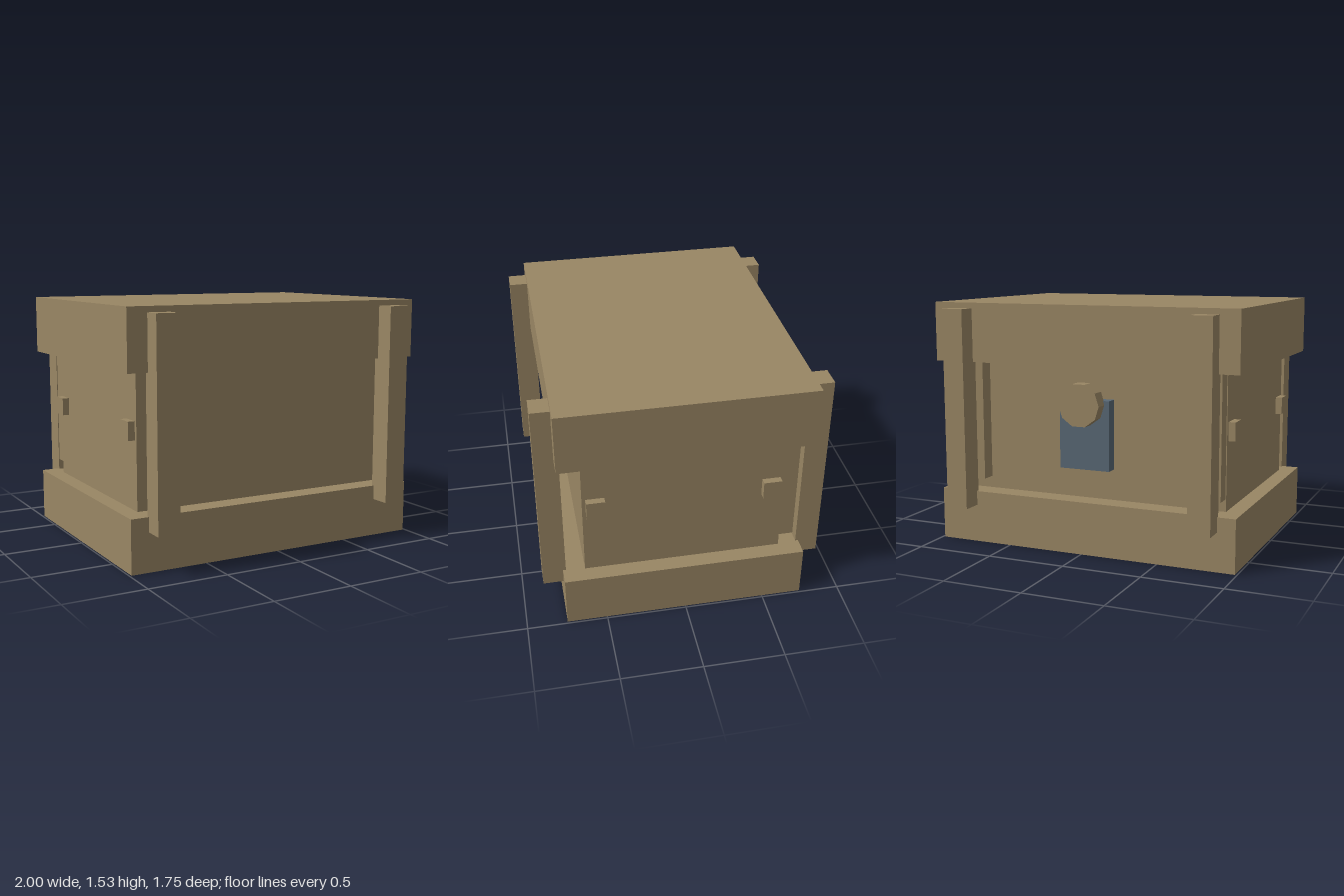
import * as THREE from 'three';

export function createModel() {
  const group = new THREE.Group();
  const wood = new THREE.MeshStandardMaterial({ color: 0x998664 });
  wood.name = 'wood';
  const steel = new THREE.MeshStandardMaterial({ color: 0x586875 });
  steel.name = 'blue steel';

  // Box given by its minimum and maximum on each axis
  function box(name, [x0, x1], [y0, y1], [z0, z1], material = wood) {
    const mesh = new THREE.Mesh(new THREE.BoxGeometry(x1 - x0, y1 - y0, z1 - z0), material);
    mesh.position.set((x0 + x1) / 2, (y0 + y1) / 2, (z0 + z1) / 2);
    mesh.name = name;
    group.add(mesh);
    return mesh;
  }
  // Same span, mirrored for the negative side
  const span = (side, a, b) => (side > 0 ? [a, b] : [-b, -a]);

  // Main crate
  box('base', [-0.987, 0.987], [0, 0.33], [-0.75, 0.75]);
  box('body', [-0.885, 0.885], [0.33, 1.16], [-0.615, 0.615]);
  box('lid', [-1, 1], [1.16, 1.53], [-0.76, 0.76]);

  for (const sx of [1, -1]) {
    const side = sx > 0 ? 'left' : 'right';
    for (const sz of [1, -1]) {
      const end = sz > 0 ? 'Front' : 'Back';
      // Outer corner posts
      box(side + end + 'Post', span(sx, 0.735, 0.875), [0.24, 1.495], span(sz, 0.732, 0.875));
      // Small blocks on the sides
      box(side + end + 'Peg', span(sx, 0.885, 0.928), [0.75, 0.863], span(sz, 0.48, 0.593));
    }
    // Battens on the back wall
    box(side + 'BackBatten', span(sx, 0.70, 0.88), [0.405, 1.16], [-0.705, -0.615]);
  }

  // Lock on the back: plate and ten-sided knob
  box('lockPlate', [-0.165, 0.165], [0.522, 0.955], [-0.69, -0.615], steel);
  const knobGeometry = new THREE.CylinderGeometry(0.135, 0.135, 0.09, 10).toNonIndexed();
  knobGeometry.rotateY(Math.PI / 2); // put corners on the x axis
  knobGeometry.rotateX(Math.PI / 2);
  knobGeometry.computeVertexNormals();
  const knob = new THREE.Mesh(knobGeometry, wood);
  knob.name = 'lockKnob';
  knob.position.set(0, 0.93, -0.725);
  group.add(knob);

  return group;
}
